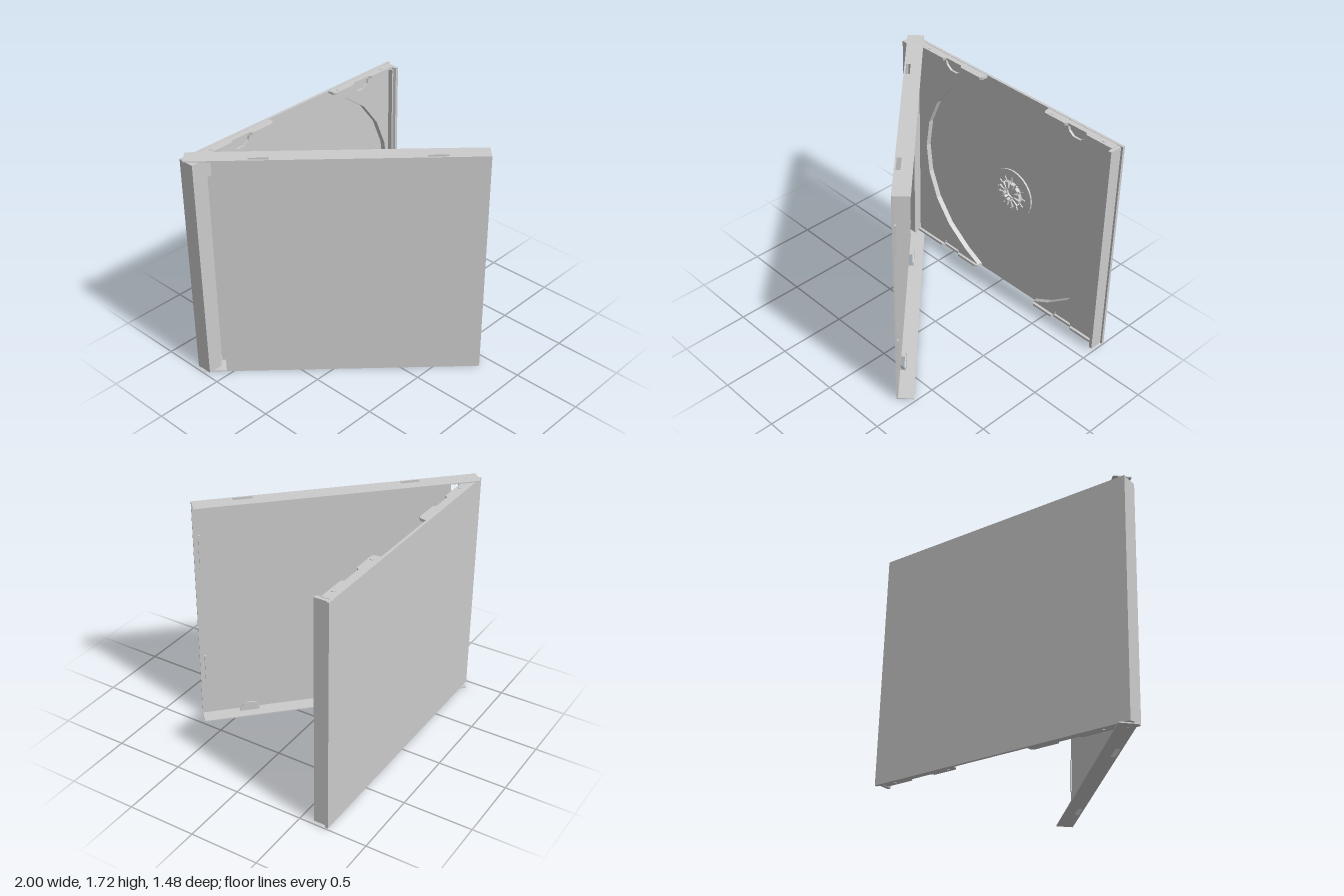
import * as THREE from 'three';

const MID = 0.86;          // mid height
const CX = 0.07;           // disc centre
const R = 0.865;           // disc recess radius
const BACK = -0.715, FLOOR = -0.695, DECK = -0.655, RIM = -0.635;

export function createModel() {
  const mat = new THREE.MeshStandardMaterial({ color: 0xcccccc, flatShading: true });
  const root = new THREE.Group();
  root.name = 'openDiscCase';

  const add = (parent, geo, name) => {
    const m = new THREE.Mesh(geo, mat);
    m.name = name;
    parent.add(m);
    return m;
  };
  const box = (parent, name, x0, x1, y0, y1, z0, z1) => {
    const g = new THREE.BoxGeometry(x1 - x0, y1 - y0, z1 - z0);
    g.translate((x0 + x1) / 2, (y0 + y1) / 2, (z0 + z1) / 2);
    return add(parent, g, name);
  };
  const poly = (pts) => new THREE.Shape(pts.map(([x, y]) => new THREE.Vector2(x, y)));
  const extrude = (shape, depth) =>
    new THREE.ExtrudeGeometry(shape, { depth, bevelEnabled: false, curveSegments: 12 });
  // Outline in x/y, pushed from z0 to z1
  const upright = (parent, name, shape, z0, z1) =>
    add(parent, extrude(shape, z1 - z0).translate(0, 0, z0), name);
  // Outline in x/z, pushed from y0 to y1
  const flat = (parent, name, shape, y0, y1) =>
    add(parent, extrude(shape, y1 - y0).rotateX(Math.PI / 2).translate(0, y1, 0), name);

  // ---------- Base: back plate, hinge spine, latch lip ----------
  const base = new THREE.Group();
  base.name = 'base';
  root.add(base);
  box(base, 'backPlate', -0.98, 1.0, 0.01, 1.705, BACK, FLOOR);
  box(base, 'hingeSpine', -0.98, -0.87, 0.015, 1.7, FLOOR, -0.595);
  upright(base, 'trayEdge', poly([[0.945, 0.035], [0.96, 0.035], [0.96, 1.685], [0.945, 1.685]]), FLOOR, -0.62);
  flat(base, 'latchLip', poly([[0.96, FLOOR], [0.955, -0.625], [0.962, -0.6], [0.985, -0.6], [0.985, FLOOR]]), 0.015, 1.7);

  // ---------- Tray decks left and right of the disc recess ----------
  const notch = [[-0.08, 0.825], [-0.07, 0.79], [-0.03, 0.76], [0.03, 0.76], [0.07, 0.79], [0.08, 0.825]];
  for (const [s, outer, name] of [[1, 0.945, 'rightDeck'], [-1, -0.87, 'leftDeck']]) {
    const pts = [[CX + s * 0.29, MID - 0.825]];
    for (let a = -60; a <= 60; a += 15) {
      const t = a * Math.PI / 180;
      pts.push([CX + s * R * Math.cos(t), MID + R * Math.sin(t)]);
    }
    pts.push([CX + s * 0.29, MID + 0.825]);
    const nx = CX + s * 0.58;
    notch.forEach(([x, y]) => pts.push([nx + s * x, MID + y]));
    pts.push([outer, MID + 0.825], [outer, MID - 0.825]);
    [...notch].reverse().forEach(([x, y]) => pts.push([nx + s * x, MID - y]));
    upright(base, name, poly(pts), FLOOR, DECK);
    // Shallow bottoms of the thumb notches
    for (const k of [1, -1]) {
      upright(base, 'notchFloor', poly(notch.map(([x, y]) => [nx + x, MID + k * y])), FLOOR, -0.672);
    }
  }

  // ---------- Top and bottom tray walls with stepped edges and dimples ----------
  const leftWall = [[-0.87, FLOOR], [-0.87, RIM], [-0.6, RIM], [-0.585, DECK], [-0.435, DECK], [-0.42, RIM],
    [-0.24, RIM], [-0.22, -0.65], [-0.215, FLOOR]];
  const rightWall = [[0.36, FLOOR], [0.365, -0.65], [0.38, RIM], [0.555, RIM], [0.57, DECK], [0.73, DECK],
    [0.745, RIM], [0.96, RIM], [0.96, FLOOR]];
  for (const [y0, y1, yEnd] of [[0.017, 0.036, 0.016], [1.684, 1.703, 1.704]]) {
    flat(base, 'trayWall', poly(leftWall), y0, y1);
    flat(base, 'trayWall', poly(rightWall), y0, y1);
    for (const x of [-0.76, 0.42, 0.87]) {
      add(base, new THREE.CylinderGeometry(0.013, 0.013, 0.006, 12), 'wallDimple').position.set(x, yEnd, -0.663);
    }
    add(base, new THREE.CylinderGeometry(0.018, 0.018, 0.02, 12), 'hingePin')
      .position.set(-0.905, y0 < 1 ? 0.009 : 1.706, -0.65);
  }

  // ---------- Hub: slotted disc and a ring of spring teeth ----------
  const hub = new THREE.Group();
  hub.name = 'hub';
  hub.position.set(CX, MID, 0);
  base.add(hub);
  const seat = new THREE.Shape().absarc(0, 0, 0.19, 0, Math.PI * 2);
  seat.holes.push(new THREE.Path().absarc(0, 0, 0.045, 0, Math.PI * 2, true));
  for (let i = 0; i < 12; i++) {
    const a = i * Math.PI / 6, c = Math.cos(a), s = Math.sin(a);
    const slot = [[0.085, -0.006], [0.135, -0.006], [0.135, 0.006], [0.085, 0.006]]
      .map(([x, y]) => new THREE.Vector2(x * c - y * s, x * s + y * c));
    seat.holes.push(new THREE.Path(slot));
    const tooth = poly([[0.05, -0.009], [0.1, -0.016], [0.1, 0.016], [0.05, 0.009]]);
    upright(hub, 'hubTooth', tooth, -0.682, -0.652).rotation.z = a + Math.PI / 12;
  }
  upright(hub, 'hubSeat', seat, FLOOR, -0.682);

  // ---------- Lid, swung open: local x runs along it, its inside faces local -z ----------
  const lid = new THREE.Group();
  lid.name = 'lid';
  lid.position.set(-1.0, 0, -0.66);
  lid.rotation.y = -Math.PI / 4;
  root.add(lid);
  const LEN = 1.975, H = 1.715;
  const panel = poly([[0.177, 0], [LEN, 0], [LEN, H], [0.177, H], [0.177, H - 0.105],
    [0.15, H - 0.12], [0.15, 0.12], [0.177, 0.105]]);
  upright(lid, 'lidPanel', panel, -0.012, 0);

  const tabs = [0.478, 1.633];
  const flange = poly([[0, 0], [LEN, 0], [LEN, -0.12], [0, -0.12]]);
  for (const u of tabs) {
    flange.holes.push(new THREE.Path([[u - 0.068, -0.012], [u + 0.068, -0.012], [u + 0.068, -0.043], [u - 0.068, -0.043]]
      .map(([x, y]) => new THREE.Vector2(x, y))));
  }
  flat(lid, 'bottomFlange', flange, 0, 0.008);
  flat(lid, 'topFlange', flange, H - 0.008, H);

  // Booklet tabs hanging from the flanges
  for (const u of tabs) {
    for (const [y, k] of [[0.005, 1], [H - 0.005, -1]]) {
      const tab = poly([[-0.07, 0], [0.07, 0], [0.068, 0.03], [0.045, 0.06], [0.02, 0.07],
        [-0.02, 0.07], [-0.045, 0.06], [-0.068, 0.03]].map(([x, v]) => [u + x, y + k * v]));
      upright(lid, 'bookletTab', tab, -0.053, -0.043);
    }
  }
  // Stop ridges near the free edge
  for (const y of [0.255, 1.215]) box(lid, 'stopRidge', 1.928, 1.942, y, y + 0.25, -0.024, -0.01);

  return root;
}
